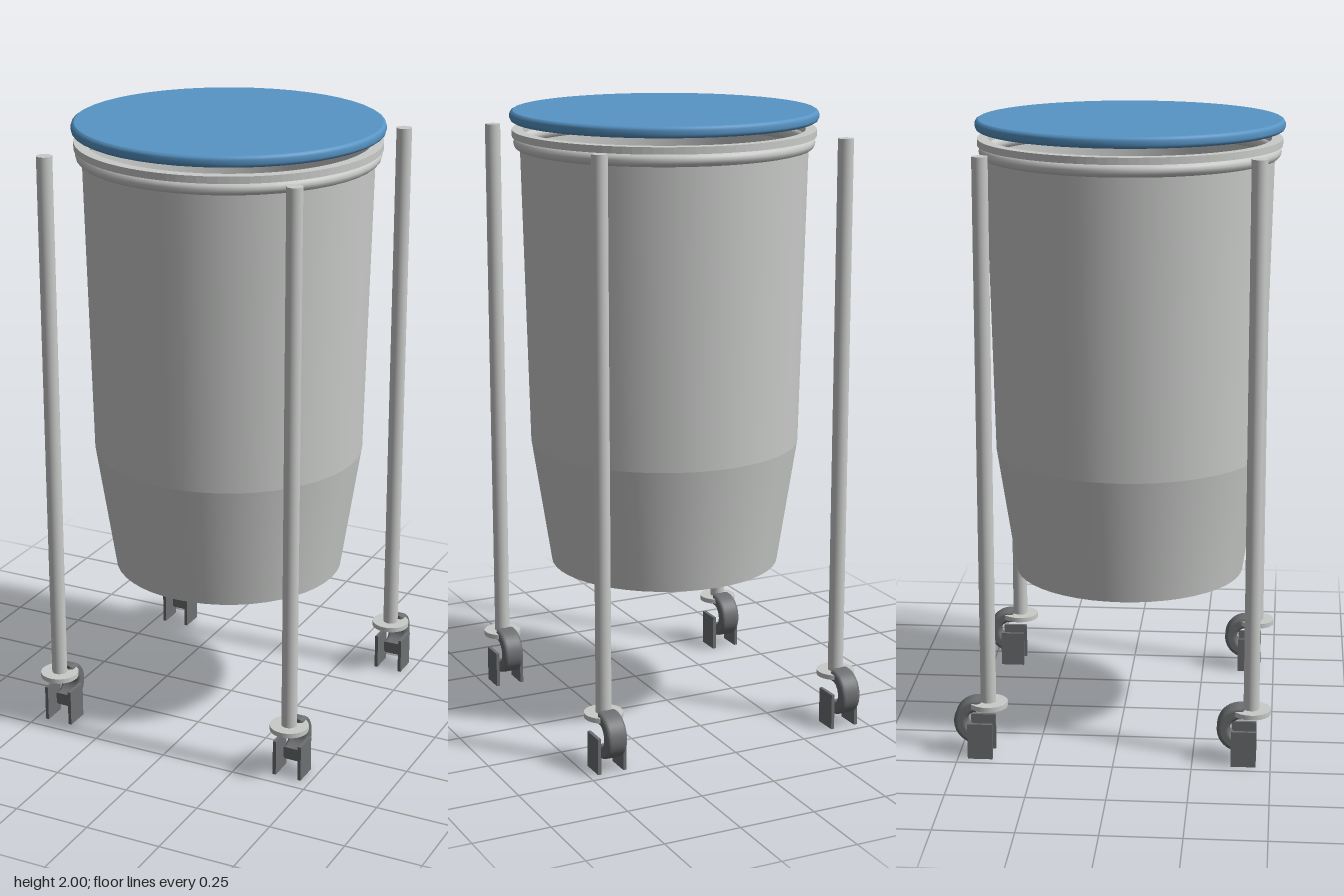
import * as THREE from 'three';

export function createModel() {
  const model = new THREE.Group();
  model.name = 'wheeledBin';
  const mat = (name, color, side = THREE.FrontSide) => {
    const m = new THREE.MeshStandardMaterial({ color, side });
    m.name = name;
    return m;
  };
  const steel = mat('lightGrey', 0xc9cbc9, THREE.DoubleSide);
  const blue = mat('lidBlue', 0x5795c6);
  const dark = mat('darkGrey', 0x6d6f72);

  const add = (parent, name, geometry, material, x = 0, y = 0, z = 0) => {
    const mesh = new THREE.Mesh(geometry, material);
    mesh.name = name;
    mesh.position.set(x, y, z);
    parent.add(mesh);
    return mesh;
  };
  const lathe = (points, segments = 48) =>
    new THREE.LatheGeometry(points.map(([r, y]) => new THREE.Vector2(r, y)), segments);

  const cz = 0.018;

  // Barrel: separate surfaces keep the bottom edge and the bend crisp
  add(model, 'barrelBottom', lathe([[0, 0.47], [0.375, 0.51]]), steel, 0, 0, cz);
  add(model, 'barrelTaper', lathe([[0.375, 0.51], [0.438, 0.92]]), steel, 0, 0, cz);
  add(model, 'barrelWall', lathe([[0.438, 0.92], [0.461, 1.93]]), steel, 0, 0, cz);

  // Rolled rim and the flat lip above it
  const bead = new THREE.TorusGeometry(0.46, 0.021, 12, 48).rotateX(Math.PI / 2);
  add(model, 'rimBead', bead, steel, 0, 1.897, cz);
  const lip = new THREE.Shape().absarc(0, 0, 0.485, 0, Math.PI * 2);
  lip.holes.push(new THREE.Path().absarc(0, 0, 0.45, 0, Math.PI * 2, true));
  const lipGeo = new THREE.ExtrudeGeometry(lip, { depth: 0.022, bevelEnabled: false, curveSegments: 48 });
  add(model, 'rimLip', lipGeo.rotateX(-Math.PI / 2), steel, 0, 1.917, cz);

  // Lid: flat disc with a rounded edge
  add(model, 'lidEdge', lathe([[0.482, 1.965], [0.489, 1.969], [0.492, 1.976],
    [0.492, 1.989], [0.489, 1.996], [0.482, 2]]), blue, 0, 0, cz);
  add(model, 'lidTop', new THREE.CircleGeometry(0.482, 48).rotateX(-Math.PI / 2), blue, 0, 2, cz);
  add(model, 'lidUnderside', new THREE.CircleGeometry(0.482, 48).rotateX(Math.PI / 2), blue, 0, 1.965, cz);

  // Wheel guard: half ring with rounded shoulders, open towards the front
  const arc = new THREE.Shape();
  arc.absarc(0, 0, 0.063, -Math.PI / 2, Math.PI / 2, false);
  arc.absarc(0, 0, 0.046, Math.PI / 2, -Math.PI / 2, true);
  arc.closePath();
  const guardGeo = new THREE.ExtrudeGeometry(arc, {
    depth: 0.044, bevelSize: 0.012, bevelThickness: 0.012, bevelSegments: 4, curveSegments: 20,
  }).translate(0, 0, -0.022).rotateY(Math.PI / 2);

  const postGeo = new THREE.CylinderGeometry(0.025, 0.025, 1.76, 20);
  const flangeGeo = new THREE.CylinderGeometry(0.062, 0.062, 0.016, 32);
  const plateGeo = new THREE.BoxGeometry(0.011, 0.118, 0.08);

  // Four posts, each on its own caster
  for (const x of [-0.42, 0.42]) {
    for (const z of [-0.405, 0.437]) {
      const leg = new THREE.Group();
      leg.name = (z > 0 ? 'front' : 'back') + (x > 0 ? 'Left' : 'Right') + 'Leg';
      leg.position.set(x, 0, z);
      add(leg, 'post', postGeo, steel, 0, 1.05, 0);
      add(leg, 'flange', flangeGeo, steel, 0, 0.173, 0);
      add(leg, 'wheelGuard', guardGeo, dark, 0, 0.118, -0.034);
      for (const s of [-1, 1]) add(leg, 'casterPlate', plateGeo, dark, s * 0.0435, 0.059, -0.023);
      model.add(leg);
    }
  }
  return model;
}
